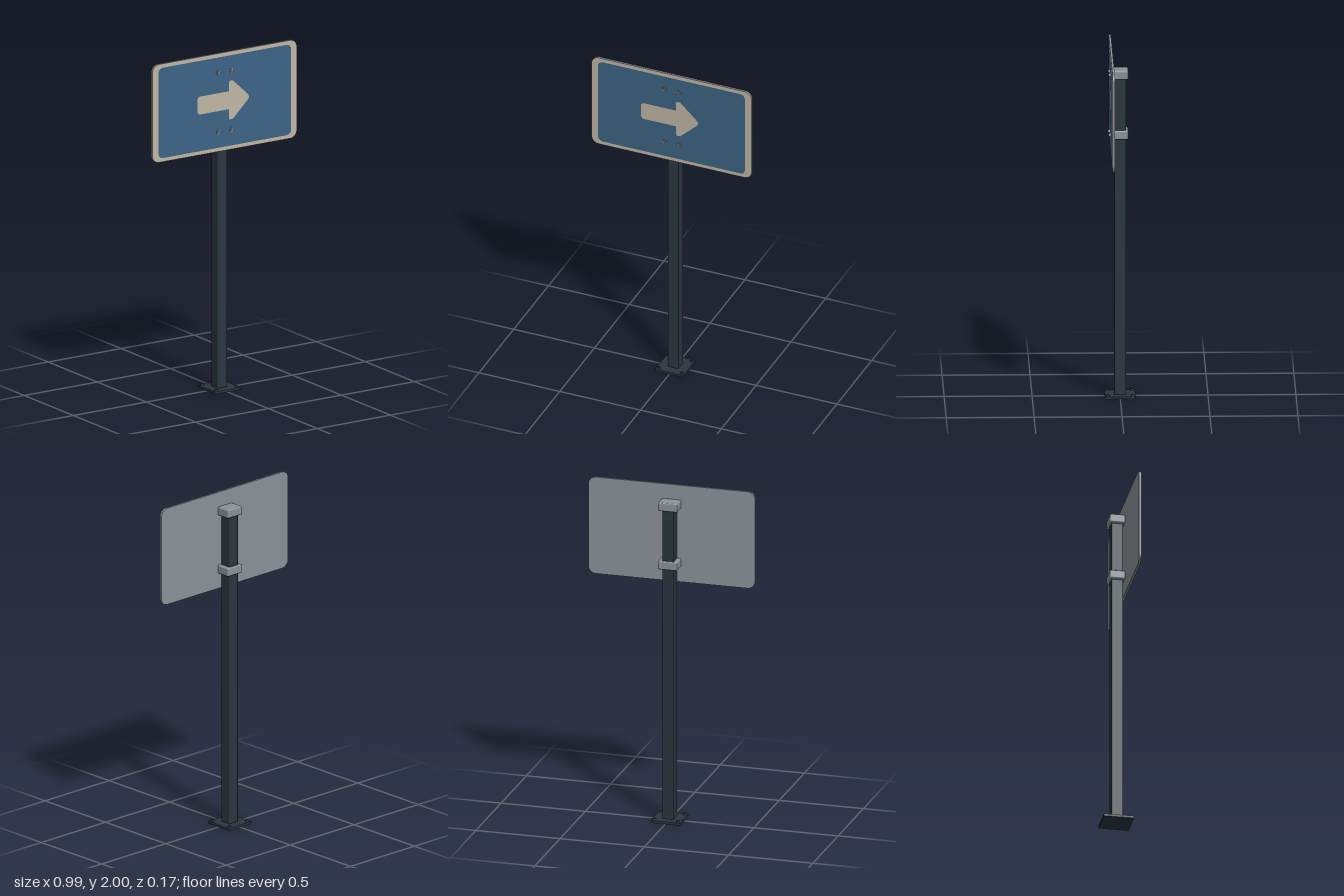
import * as THREE from 'three';
import { RoundedBoxGeometry } from 'three/addons/geometries/RoundedBoxGeometry.js';

const material = (name, color) => {
  const m = new THREE.MeshStandardMaterial({ color });
  m.name = name;
  return m;
};

// Rectangle with rounded corners, centred on the origin
function roundedRect(w, h, r) {
  const s = new THREE.Shape();
  const x = w / 2 - r, y = h / 2 - r;
  s.absarc(x, y, r, 0, Math.PI / 2);
  s.absarc(-x, y, r, Math.PI / 2, Math.PI);
  s.absarc(-x, -y, r, Math.PI, Math.PI * 1.5);
  s.absarc(x, -y, r, Math.PI * 1.5, Math.PI * 2);
  s.closePath();
  return s;
}

export function createModel() {
  const group = new THREE.Group();
  const darkSteel = material('dark steel', 0x2b363f);
  const greySteel = material('grey steel', 0x8b9299);
  const cream = material('cream paint', 0xc0b7a4);
  const blue = material('blue paint', 0x3d6485);

  const add = (name, geometry, mat, x = 0, y = 0, z = 0) => {
    const mesh = new THREE.Mesh(geometry, mat);
    mesh.name = name;
    mesh.position.set(x, y, z);
    group.add(mesh);
    return mesh;
  };

  // Base plate with four anchor bolts
  add('basePlate', new THREE.BoxGeometry(0.174, 0.014, 0.174), darkSteel, 0, 0.007, 0);
  for (const x of [-0.07, 0.07]) for (const z of [-0.07, 0.07]) {
    add('anchorBolt', new THREE.CylinderGeometry(0.008, 0.01, 0.01, 12), darkSteel, x, 0.019, z);
  }

  // Square post
  add('post', new RoundedBoxGeometry(0.068, 1.88, 0.068, 2, 0.006), darkSteel, 0, 0.95, 0);

  // Clamps and their pairs of panel bolts
  for (const y of [1.888, 1.537]) {
    add('clamp', new RoundedBoxGeometry(0.114, 0.05, 0.089, 2, 0.007), greySteel, 0, y, -0.0015);
    for (const x of [-0.045, 0.045]) {
      const washer = add('boltWasher', new THREE.CylinderGeometry(0.014, 0.014, 0.004, 20), greySteel, x, y, 0.057);
      const head = add('boltHead', new THREE.CylinderGeometry(0.009, 0.009, 0.008, 6), greySteel, x, y, 0.062);
      washer.rotation.x = head.rotation.x = Math.PI / 2;
    }
  }

  // Sign panel with its painted border and field
  const cy = 1.71;
  add('signPanel', new THREE.ExtrudeGeometry(roundedRect(0.99, 0.58, 0.045),
    { depth: 0.013, bevelEnabled: false, curveSegments: 8 }), greySteel, 0, cy, 0.041);
  add('signBorder', new THREE.ShapeGeometry(roundedRect(0.988, 0.578, 0.044), 8), cream, 0, cy, 0.0548);
  add('signField', new THREE.ShapeGeometry(roundedRect(0.91, 0.534, 0.032), 8), blue, 0, cy, 0.0556);

  // Arrow pointing to +x, with softened corners
  const points = [
    [-0.175, -0.053], [0.028, -0.053], [0.028, -0.104], [0.034, -0.115], [0.055, -0.113],
    [0.158, -0.016], [0.167, 0], [0.158, 0.016],
    [0.055, 0.113], [0.034, 0.115], [0.028, 0.104], [0.028, 0.053], [-0.175, 0.053],
    [-0.187, 0.041], [-0.187, -0.041],
  ].map(([x, y]) => new THREE.Vector2(x, y));
  add('arrow', new THREE.ShapeGeometry(new THREE.Shape(points)), cream, 0, cy + 0.003, 0.0564);

  return group;
}
